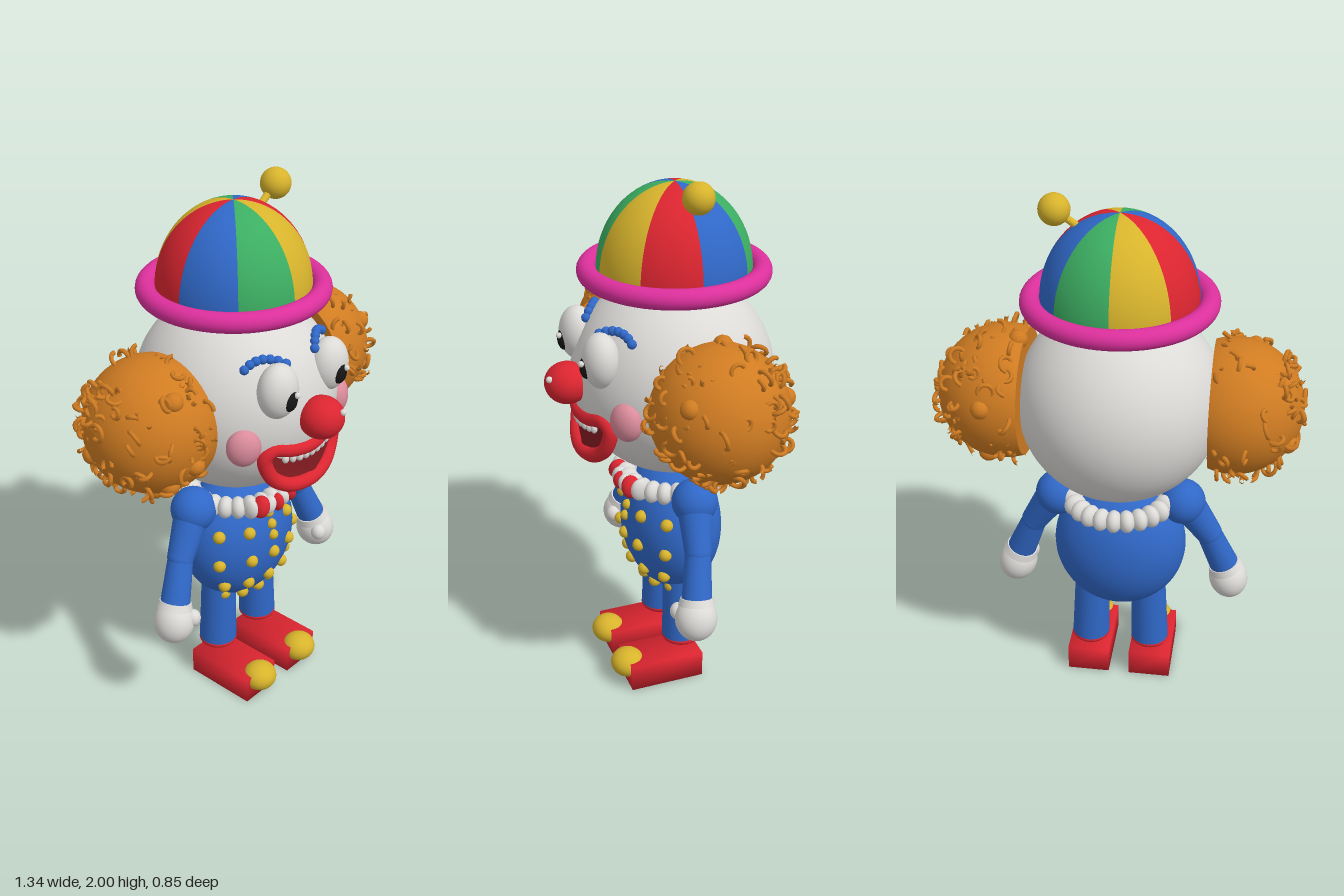
import * as THREE from 'three';
import { mergeVertices, mergeGeometries } from 'three/addons/utils/BufferGeometryUtils.js';

const paint = (name, color, side = THREE.FrontSide) => {
  const m = new THREE.MeshStandardMaterial({ color, side });
  m.name = name;
  return m;
};

const V = (x, y, z) => new THREE.Vector3(x, y, z);
const HEAD = V(0, 1.24, -0.06), HEAD_R = 0.37;
const BODY = V(0, 0.62, -0.055), BODY_R = V(0.25, 0.27, 0.185);

// Front z of an ellipsoid at a given x, y
const frontZ = (c, r, x, y) =>
  c.z + r.z * Math.sqrt(Math.max(0, 1 - ((x - c.x) / r.x) ** 2 - ((y - c.y) / r.y) ** 2));

export function createModel() {
  const root = new THREE.Group();
  root.name = 'clown';
  const white = paint('white', 0xdcdad7), blue = paint('blue', 0x3068c8), red = paint('red', 0xdb2530),
    green = paint('green', 0x3cae62), yellow = paint('yellow', 0xd8b42c), magenta = paint('magenta', 0xdc309c),
    orange = paint('orange', 0xd07c22), pink = paint('pink', 0xdc8c9c), black = paint('black', 0x161616),
    maroon = paint('maroon', 0x861c22, THREE.DoubleSide);

  let seed = 7;
  const rnd = () => (seed = (seed * 16807) % 2147483647) / 2147483647;

  const add = (name, geo, mat, pos = [0, 0, 0], parent = root) => {
    const m = new THREE.Mesh(geo, mat);
    m.name = name;
    m.position.set(...pos);
    parent.add(m);
    return m;
  };
  const ball = (name, mat, pos, rx, ry = rx, rz = rx, seg = 24) => {
    const m = add(name, new THREE.SphereGeometry(1, seg, Math.ceil(seg * 0.67)), mat, pos);
    m.scale.set(rx, ry, rz);
    return m;
  };
  // Tapered cylinder from a to b
  const limb = (name, mat, a, b, ra, rb) => {
    const d = b.clone().sub(a);
    const m = add(name, new THREE.CylinderGeometry(rb, ra, d.length(), 24), mat,
      a.clone().add(b).multiplyScalar(0.5).toArray());
    m.quaternion.setFromUnitVectors(V(0, 1, 0), d.normalize());
    return m;
  };

  // Head and body
  ball('head', white, HEAD.toArray(), HEAD_R, HEAD_R, HEAD_R, 56);
  ball('body', blue, BODY.toArray(), BODY_R.x, BODY_R.y, BODY_R.z, 48);

  // Beanie: eight coloured wedges, rolled brim, ball on a stalk
  const wedges = [blue, green, yellow, red];
  for (let i = 0; i < 8; i++) {
    const w = add('hatWedge', new THREE.SphereGeometry(0.275, 8, 20, i * Math.PI / 4, Math.PI / 4, 0, Math.PI / 2),
      wedges[i % 4], [0, 1.635, -0.065]);
    w.scale.y = 0.31 / 0.275;
  }
  const brim = add('hatBrim', new THREE.TorusGeometry(0.308, 0.036, 20, 64), magenta, [0, 1.634, -0.065]);
  brim.rotation.x = Math.PI / 2;
  limb('hatStalk', yellow, V(0.1, 1.86, -0.065), V(0.22, 1.945, -0.065), 0.013, 0.013);
  ball('hatBall', yellow, [0.22, 1.945, -0.065], 0.055);

  // Side hair: puff cut flat on the inside, covered with curls
  const puffR = 0.243, cut = -0.08;
  for (const s of [-1, 1]) {
    const hair = new THREE.Group();
    hair.name = s > 0 ? 'leftHair' : 'rightHair';
    hair.position.set(s * 0.41, 1.255, -0.075);
    hair.rotation.z = -s * Math.PI / 2;
    root.add(hair);
    add('hairPuff', new THREE.SphereGeometry(puffR, 40, 28, 0, Math.PI * 2, 0, Math.acos(cut / puffR)), orange, [0, 0, 0], hair);
    const cap = new THREE.CircleGeometry(Math.sqrt(puffR ** 2 - cut ** 2), 40);
    cap.rotateX(Math.PI / 2);
    add('hairInside', cap, orange, [0, cut, 0], hair);
    const curls = [];
    const place = (geo, lift) => {
      const y = -0.25 + 1.23 * rnd(), a = rnd() * Math.PI * 2, h = Math.sqrt(1 - y * y);
      const p = V(Math.cos(a) * h, y, Math.sin(a) * h).multiplyScalar(puffR + lift);
      geo.rotateX(rnd() * 6.28);
      geo.rotateY(rnd() * 6.28);
      geo.translate(p.x, p.y, p.z);
      curls.push(geo);
    };
    for (let i = 0; i < 85; i++)
      place(new THREE.TorusGeometry(0.018 + 0.012 * rnd(), 0.008, 6, 12, Math.PI * (1 + 0.7 * rnd())), 0.004);
    for (let i = 0; i < 5; i++) place(new THREE.SphereGeometry(0.035, 12, 8), -0.012);
    add('hairCurls', mergeGeometries(curls), orange, [0, 0, 0], hair);
  }

  // Eyes, eyebrows and cheeks
  const headR = V(HEAD_R, HEAD_R, HEAD_R);
  for (const s of [-1, 1]) {
    ball('eye', white, [s * 0.137, 1.385, 0.255], 0.08, 0.1, 0.066, 32);
    ball('pupil', black, [s * 0.135, 1.367, 0.305], 0.032, 0.042, 0.025);
    ball('eyeGlint', white, [s * 0.135 + 0.012, 1.387, 0.328], 0.011, 0.011, 0.011, 12);
    for (let i = 0; i < 7; i++) {
      const t = i / 3 - 1, x = s * 0.142 + t * 0.065, y = 1.484 - 0.024 * t * t;
      ball('eyebrowBead', blue, [x, y, frontZ(HEAD, headR, x, y) + 0.012], 0.017, 0.017, 0.017, 12);
    }
    const cheek = ball('cheek', pink, [s * 0.255, 1.195, 0.205], 0.062, 0.07, 0.045);
    cheek.rotation.y = s * 0.6;
  }
  ball('nose', red, [0, 1.257, 0.338], 0.082, 0.076, 0.082, 32);
  ball('noseGlint', white, [0.027, 1.29, 0.41], 0.012, 0.012, 0.012, 12);

  // Mouth: closed lip tube over a bowed dark plate, with upper teeth
  const bow = (x) => 0.292 - 1.4 * x * x;
  const half = [[0, 1.133], [0.09, 1.145], [0.16, 1.163], [0.188, 1.135], [0.165, 1.055], [0.1, 1.005], [0, 0.99]];
  const outline = [...half, ...half.slice(1, -1).reverse().map(([x, y]) => [-x, y])];
  const lipPath = new THREE.CatmullRomCurve3(outline.map(([x, y]) => V(x, y, bow(x))), true);
  add('lips', new THREE.TubeGeometry(lipPath, 80, 0.027, 14, true), red);
  const inside = new THREE.ShapeGeometry(new THREE.Shape(
    lipPath.getPoints(48).slice(0, -1).map((p) => new THREE.Vector2(p.x, p.y))));
  const ip = inside.attributes.position;
  for (let i = 0; i < ip.count; i++) ip.setZ(i, bow(ip.getX(i)) + 0.004);
  inside.computeVertexNormals();
  add('mouthInside', inside, maroon);
  for (let i = -4; i <= 4; i++) {
    const x = i * 0.03;
    ball('tooth', white, [x, 1.107 + 0.9 * x * x, bow(x) + 0.008], 0.014, 0.018, 0.012, 12);
  }

  // Neck ruff and striped bow
  for (let i = 0; i < 24; i++) {
    const a = i / 24 * Math.PI * 2;
    const bead = ball('ruffBead', white, [Math.sin(a) * 0.18, 0.826, -0.06 + Math.cos(a) * 0.175], 0.03, 0.042, 0.042, 16);
    bead.rotation.y = a;
  }
  ball('bowKnot', red, [0, 0.825, 0.145], 0.022, 0.036, 0.028);
  for (const s of [-1, 1]) {
    ball('bowFold', white, [s * 0.037, 0.828, 0.137], 0.024, 0.036, 0.028).rotation.z = s * 0.35;
    ball('bowLoop', red, [s * 0.075, 0.832, 0.13], 0.028, 0.043, 0.036).rotation.z = s * 0.35;
    ball('bowTail', white, [s * 0.108, 0.832, 0.105], 0.022, 0.044, 0.036);
  }

  // Buttons over the front of the body
  const rows = [[0.715, [0.105, 0.2]], [0.595, [0.105, 0.21]], [0.48, [0.095, 0.175]], [0.4, [0.075, 0.13]]];
  const button = (x, y, r) => ball('button', yellow, [x, y, frontZ(BODY, BODY_R, x, y)], r, r, r, 14);
  for (const [y, xs] of rows) for (const x of xs) for (const s of [-1, 1]) button(s * x, y, 0.024);
  for (const y of [0.76, 0.715, 0.67]) button(0, y, 0.02);
  for (const y of [0.595, 0.48, 0.4]) button(0, y, 0.024);

  for (const s of [-1, 1]) {
    // Arms and gloved hands
    const elbow = V(s * 0.335, 0.67, -0.035), wrist = V(s * 0.398, 0.51, -0.008);
    ball('shoulder', blue, [s * 0.235, 0.82, -0.06], 0.085, 0.085, 0.085, 32);
    limb('upperArm', blue, V(s * 0.25, 0.81, -0.055), elbow, 0.066, 0.05);
    ball('elbow', blue, elbow.toArray(), 0.05);
    limb('forearm', blue, elbow, wrist, 0.047, 0.056);
    const cuff = limb('gloveCuff', white, V(s * 0.396, 0.515, -0.008), V(s * 0.405, 0.49, -0.005), 0.06, 0.068);
    cuff.name = 'gloveCuff';
    ball('hand', white, [s * 0.417, 0.44, 0.002], 0.074, 0.084, 0.078, 32).rotation.z = s * 0.3;
    ball('thumb', white, [s * 0.372, 0.455, 0.055], 0.03, 0.034, 0.03);

    // Legs with red ankle bands
    limb('leg', blue, V(s * 0.118, 0.165, -0.055), V(s * 0.108, 0.48, -0.055), 0.073, 0.066);
    ball('ankleBand', red, [s * 0.118, 0.16, -0.055], 0.074, 0.03, 0.074, 32);

    // Block shoes with soft shading and round toes
    const block = new THREE.BoxGeometry(0.163, 0.105, 0.29);
    block.deleteAttribute('normal');
    block.deleteAttribute('uv');
    const shoe = mergeVertices(block);
    shoe.computeVertexNormals();
    add('shoe', shoe, red, [s * 0.122, 0.0525, 0.03]);
    ball('shoeToe', yellow, [s * 0.12, 0.078, 0.167], 0.067, 0.055, 0.065, 28);
  }
  return root;
}
